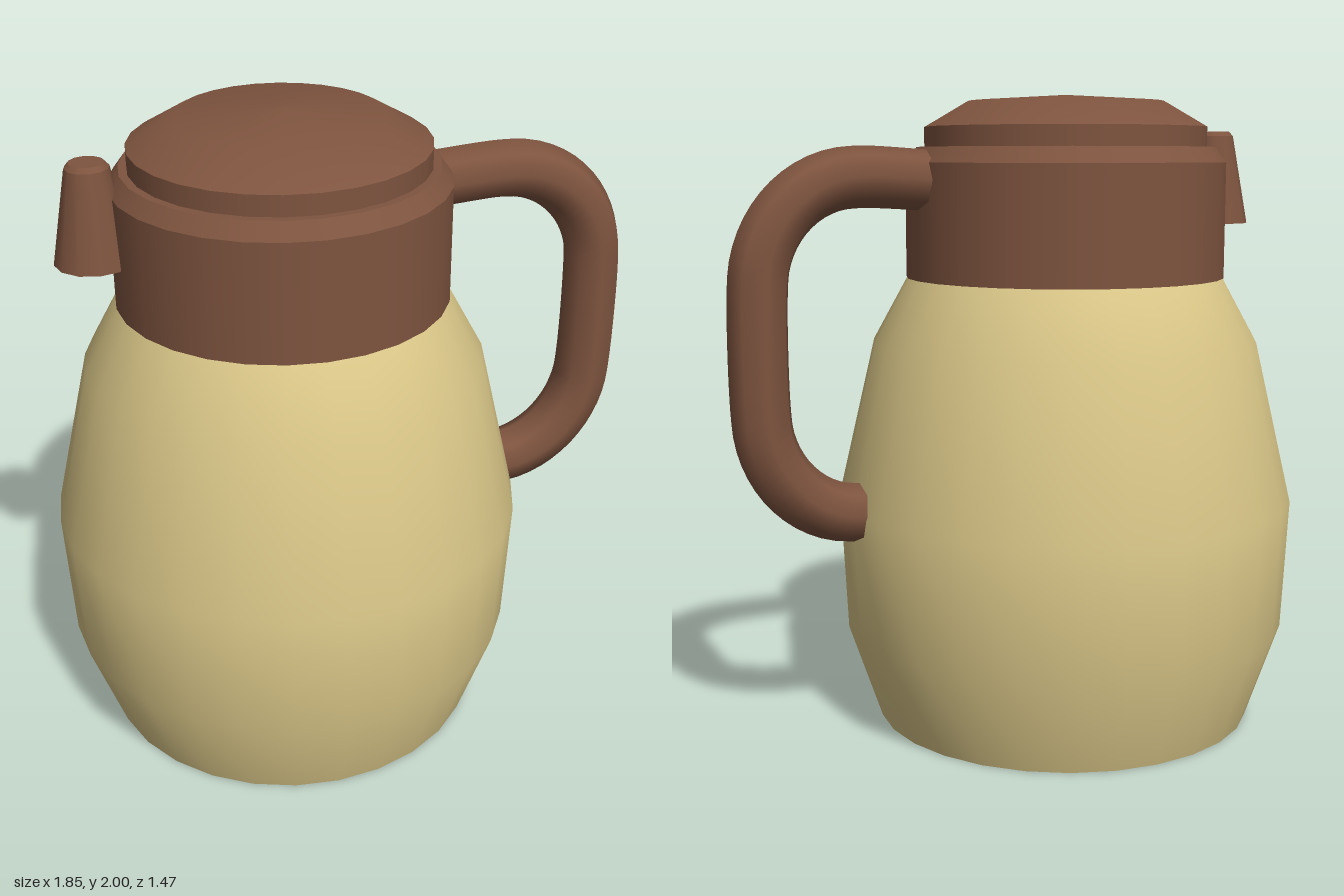
import * as THREE from 'three';

const SIDES = 28;
const AXIS_X = -0.19; // centre line of the jug body

export function createModel() {
  const model = new THREE.Group();
  model.name = 'jug';

  const cream = new THREE.MeshStandardMaterial({ color: 0xdbc889 });
  cream.name = 'cream';
  const brown = new THREE.MeshStandardMaterial({ color: 0x7e543f });
  brown.name = 'brown';

  const add = (parent, name, geometry, material) => {
    const mesh = new THREE.Mesh(geometry, material);
    mesh.name = name;
    parent.add(mesh);
    return mesh;
  };

  // A turned part made of smooth bands that meet in sharp edges
  const turned = (name, material, x, sides, bands) => {
    const part = new THREE.Group();
    part.name = name;
    part.position.x = x;
    bands.forEach((band, i) => {
      const points = band.map(([r, y]) => new THREE.Vector2(r, y));
      add(part, `${name}Band${i + 1}`, new THREE.LatheGeometry(points, sides), material);
    });
    model.add(part);
  };

  // Rounded body with a flat base
  turned('body', cream, AXIS_X, SIDES, [
    [[0, 0], [0.61, 0]],
    [[0.61, 0], [0.715, 0.31], [0.735, 0.72], [0.615, 1.23], [0.505, 1.43]],
  ]);

  // Collar with a chamfered rim
  turned('collar', brown, AXIS_X, SIDES, [
    [[0.508, 1.43], [0.508, 1.79]],
    [[0.508, 1.79], [0.472, 1.838]],
    [[0.472, 1.838], [0.44, 1.838]],
  ]);

  // Lid with a short wall and a shallow dome
  turned('lid', brown, AXIS_X, SIDES, [
    [[0.447, 1.83], [0.447, 1.9]],
    [[0.447, 1.9], [0.31, 1.98], [0, 2]],
  ]);

  // Tapered spout beside the collar
  turned('spout', brown, -0.75, 12, [
    [[0, 1.59], [0.117, 1.59]],
    [[0.117, 1.59], [0.065, 1.875]],
    [[0.065, 1.875], [0.052, 1.89]],
    [[0.052, 1.89], [0, 1.89]],
  ]);

  // Handle: two quarter bends joined by a straight grip
  const path = [[0.25, 1.735]];
  const bend = (y, ry, from) => {
    for (let i = 0; i <= 6; i++) {
      const a = from - (i / 6) * (Math.PI / 2);
      path.push([0.515 + 0.312 * Math.cos(a), y + ry * Math.sin(a)]);
    }
  };
  bend(1.42, 0.328, Math.PI / 2);
  bend(1.06, 0.335, 0);
  path.push([0.48, 0.72]);
  const curve = new THREE.CatmullRomCurve3(path.map(([x, y]) => new THREE.Vector3(x, y, 0)));
  add(model, 'handle', new THREE.TubeGeometry(curve, 48, 0.092, 8), brown);

  // Discs closing the handle ends
  [0, 1].forEach((t) => {
    const cap = add(model, t ? 'handleLowerEnd' : 'handleUpperEnd', new THREE.CircleGeometry(0.092, 8), brown);
    const outward = curve.getTangentAt(t).multiplyScalar(t ? 1 : -1);
    cap.position.copy(curve.getPointAt(t));
    cap.quaternion.setFromUnitVectors(new THREE.Vector3(0, 0, 1), outward);
  });

  return model;
}
